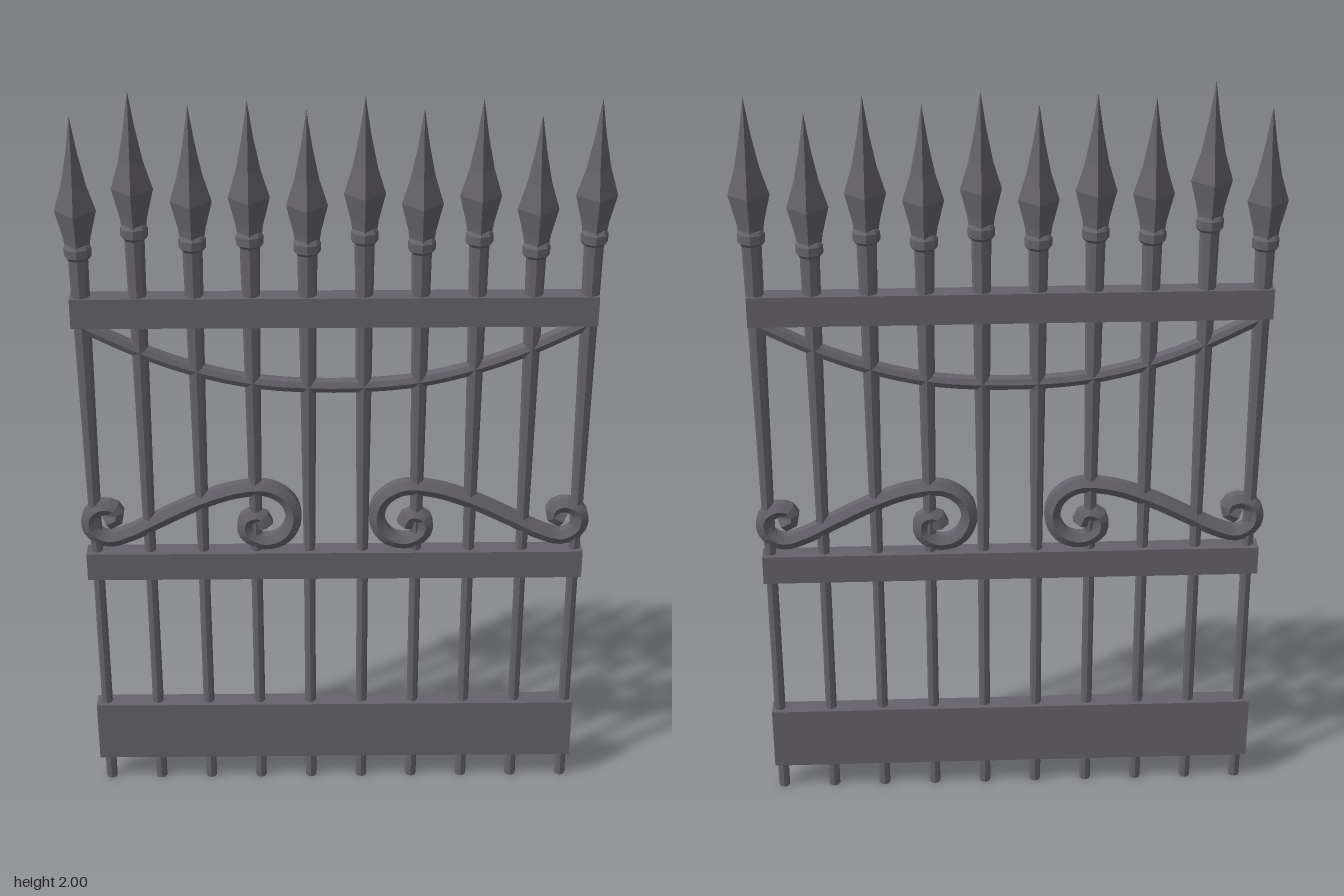
import * as THREE from 'three';

export function createModel() {
  const group = new THREE.Group();
  const iron = new THREE.MeshStandardMaterial({ color: 0x656369, flatShading: true });
  iron.name = 'dark iron';

  function add(name, geometry, parent = group) {
    const mesh = new THREE.Mesh(geometry, iron);
    mesh.name = name;
    parent.add(mesh);
    return mesh;
  }
  const lathe = (points, sides) =>
    new THREE.LatheGeometry(points.map(([r, y]) => new THREE.Vector2(r, y)), sides);

  // Posts: tapered shaft, collar and four-sided spearhead, each stretched to its own height
  const shaft = lathe([[0, 0], [0.015, 0], [0.015, 0.37], [0.0215, 0.69], [0.025, 0.82], [0, 0.82]], 8);
  const collar = lathe([[0, 0.813], [0.028, 0.813], [0.034, 0.817], [0.034, 0.828], [0.028, 0.832], [0, 0.832]], 8);
  const spearhead = lathe(
    [[0, 0.828], [0.03, 0.828], [0.034, 0.842], [0.051, 0.877], [0.03, 0.912], [0.014, 0.953], [0, 1]], 4);
  const heights = [1.937, 2, 1.963, 1.974, 1.95, 1.984, 1.953, 1.976, 1.937, 1.976];
  heights.forEach((height, i) => {
    const post = new THREE.Group();
    post.name = 'post' + (i + 1);
    add('shaft', shaft, post);
    add('collar', collar, post);
    add('spearhead', spearhead, post);
    post.scale.y = height;
    post.position.x = -0.635 + i * 0.1405;
    group.add(post);
  });

  // Rails
  for (const [name, bottom, top] of [
    ['bottomRail', 0.08, 0.256], ['middleRail', 0.663, 0.742], ['topRail', 1.396, 1.475]]) {
    add(name, new THREE.BoxGeometry(1.312, top - bottom, 0.052)).position.set(-0.006, (top + bottom) / 2, 0);
  }

  // Tube with closed ends along a flat path
  function bar(name, points, segments, radius, sides) {
    const path = new THREE.CatmullRomCurve3(points.map(([x, y]) => new THREE.Vector3(x, y, 0)));
    const part = new THREE.Group();
    part.name = name;
    add(name + 'Tube', new THREE.TubeGeometry(path, segments, radius, sides), part);
    for (const t of [0, 1]) {
      const cap = add(name + 'End', new THREE.CircleGeometry(radius, sides), part);
      const out = path.getTangent(t).multiplyScalar(t ? 1 : -1);
      cap.position.copy(path.getPoint(t));
      cap.quaternion.setFromUnitVectors(new THREE.Vector3(0, 0, 1), out);
    }
    group.add(part);
  }

  // Sagging bar under the top rail
  bar('saggingBar', [
    [-0.635, 1.395], [-0.495, 1.325], [-0.355, 1.272], [-0.2, 1.236], [-0.006, 1.224],
    [0.19, 1.236], [0.343, 1.272], [0.483, 1.325], [0.623, 1.395]], 28, 0.02, 8);

  // Mirrored scrolls above the middle rail
  const scroll = [
    [-0.605, 0.83], [-0.578, 0.845], [-0.585, 0.868], [-0.615, 0.874], [-0.648, 0.85], [-0.645, 0.805],
    [-0.605, 0.779], [-0.545, 0.795], [-0.465, 0.837], [-0.365, 0.887], [-0.265, 0.922], [-0.18, 0.927],
    [-0.127, 0.89], [-0.115, 0.832], [-0.143, 0.782], [-0.195, 0.768], [-0.238, 0.795], [-0.237, 0.836],
    [-0.203, 0.845], [-0.187, 0.815]];
  bar('rightScroll', scroll, 76, 0.024, 6);
  bar('leftScroll', scroll.map(([x, y]) => [-0.01 - x, y]), 76, 0.024, 6);

  return group;
}
